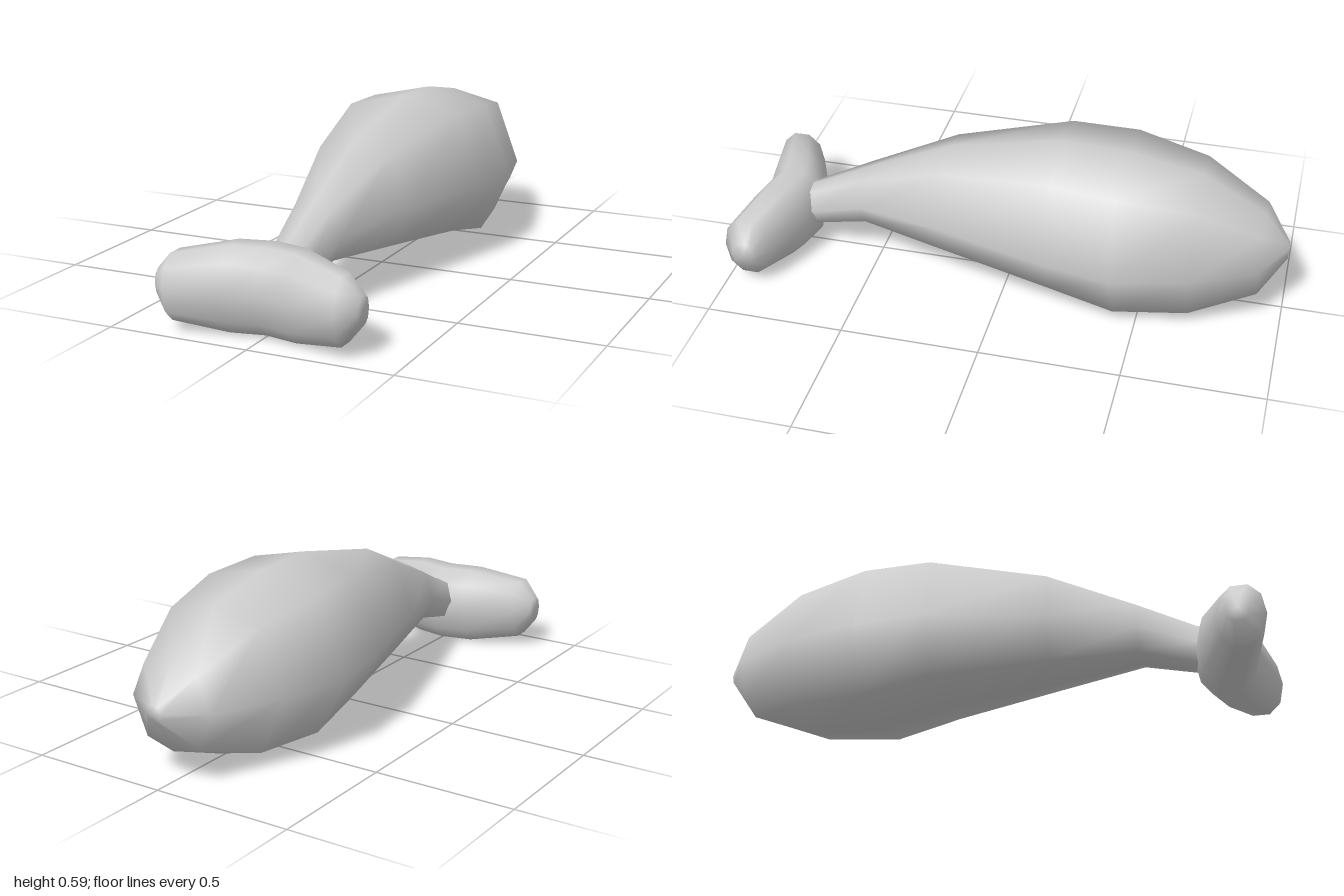
import * as THREE from 'three';

// Lofts closed rings along z. Ring: { s: position, cx, cy: widest point, w: half width, top, bottom }
function loft(rings, corners) {
  const n = corners.length, pos = [], index = [];
  for (const r of rings) {
    for (const [u, v] of corners) {
      pos.push(r.cx + u * r.w, r.cy + v * (v > 0 ? r.top - r.cy : r.cy - r.bottom), r.s);
    }
  }
  for (let i = 0; i < rings.length - 1; i++) {
    for (let j = 0; j < n; j++) {
      const a = i * n + j, b = i * n + (j + 1) % n;
      index.push(a, b, a + n, b, b + n, a + n);
    }
  }
  // end caps
  const last = rings.length - 1;
  for (const i of [0, last]) {
    const r = rings[i], c = pos.length / 3, o = i * n;
    pos.push(r.cx, (r.top + r.bottom) / 2, r.s);
    for (let j = 0; j < n; j++) {
      const k = (j + 1) % n;
      if (i === 0) index.push(c, o + k, o + j);
      else index.push(c, o + j, o + k);
    }
  }
  const g = new THREE.BufferGeometry();
  g.setAttribute('position', new THREE.Float32BufferAttribute(pos, 3));
  g.setIndex(index);
  return g;
}

export function createModel() {
  const group = new THREE.Group();
  const material = new THREE.MeshStandardMaterial({ color: 0xcccccc });
  const add = (name, geometry) => {
    geometry.computeVertexNormals();
    const mesh = new THREE.Mesh(geometry, material);
    mesh.name = name;
    group.add(mesh);
  };

  // Plump body tapering into a thin neck: z, half width, widest y, top, bottom
  const bodyCorners = [[1, 0], [0.68, 0.84], [0, 1], [-0.68, 0.84],
    [-1, 0], [-0.66, -0.82], [0, -1], [0.66, -0.82]];
  const body = [
    [-1, 0.03, 0.26, 0.285, 0.235],
    [-0.91, 0.16, 0.26, 0.40, 0.10],
    [-0.68, 0.27, 0.26, 0.53, 0.01],
    [-0.42, 0.335, 0.26, 0.582, 0],
    [-0.18, 0.315, 0.28, 0.59, 0.06],
    [0.23, 0.20, 0.28, 0.505, 0.11],
    [0.54, 0.105, 0.25, 0.365, 0.15],
    [0.74, 0.075, 0.18, 0.265, 0.10],
    [0.85, 0.075, 0.17, 0.24, 0.09],
  ].map(([s, w, cy, top, bottom]) => ({ s, w, cy, top, bottom, cx: 0.005 }));
  add('body', loft(body, bodyCorners));

  // Crosswise knob, bent forward at both ends: x, back z, front z, top, bottom
  const knobCorners = [];
  for (let j = 0; j < 10; j++) {
    const t = j / 10 * Math.PI * 2, soft = (v) => Math.sign(v) * Math.abs(v) ** 0.9;
    knobCorners.push([soft(Math.cos(t)), soft(Math.sin(t)) / 0.951 ** 0.9]);
  }
  const half = [
    [0, 0.72, 0.945, 0.295, 0.005],
    [0.12, 0.75, 0.965, 0.295, 0.005],
    [0.30, 0.83, 1, 0.26, 0.036],
    [0.358, 0.87, 0.95, 0.20, 0.105],
  ];
  const mirrored = half.slice(1).reverse().map(([x, ...rest]) => [-x, ...rest]);
  const knob = [...mirrored, ...half].map(([s, back, front, top, bottom]) => ({
    s, cx: -(back + front) / 2, w: (front - back) / 2, cy: (top + bottom) / 2, top, bottom,
  }));
  add('knob', loft(knob, knobCorners).rotateY(Math.PI / 2));

  return group;
}
